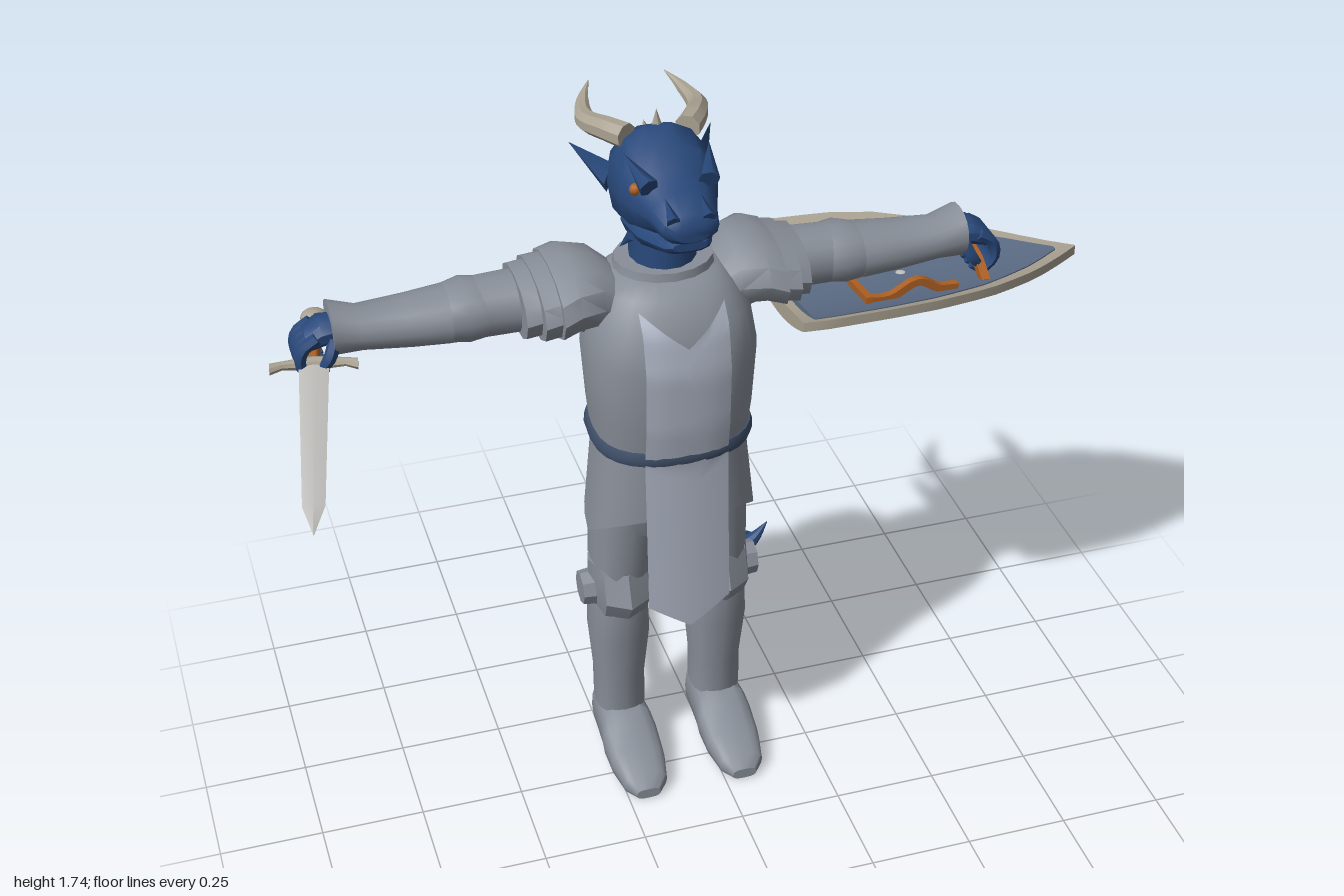
import * as THREE from 'three';
import { toCreasedNormals } from 'three/addons/utils/BufferGeometryUtils.js';

const V = (x, y, z) => new THREE.Vector3(x, y, z);
const mat = (name, color) => Object.assign(new THREE.MeshStandardMaterial({ color, side: THREE.DoubleSide }), { name });
const M = {
  armor: mat('armor grey', 0x888e98), cloth: mat('pale cloth', 0xabb2c1), scale: mat('blue scales', 0x28487a),
  belt: mat('dark blue leather', 0x40506a), bone: mat('bone', 0xaaa292), leather: mat('orange leather', 0xac5f22),
  gold: mat('gold paint', 0xb8952a), steel: mat('bright steel', 0xc2c1be), field: mat('slate blue', 0x5c6d86),
};

function add(parent, name, geo, material) {
  const m = new THREE.Mesh(geo, material);
  m.name = name;
  parent.add(m);
  return m;
}

// Closed skin over rings of points, capped at both ends and wound outward
function skin(rings, crease = 0.7) {
  const n = rings[0].length, pos = [], idx = [];
  rings.forEach(r => r.forEach(p => pos.push(p.x, p.y, p.z)));
  for (let i = 0; i < rings.length - 1; i++) for (let j = 0; j < n; j++) {
    const a = i * n + j, b = i * n + (j + 1) % n;
    idx.push(a, b, a + n, b, b + n, a + n);
  }
  [0, rings.length - 1].forEach((k, end) => {
    const c = V(0, 0, 0);
    rings[k].forEach(p => c.addScaledVector(p, 1 / n));
    const ci = pos.length / 3;
    pos.push(c.x, c.y, c.z);
    for (let j = 0; j < n; j++) {
      const a = k * n + j, b = k * n + (j + 1) % n;
      if (end) idx.push(a, b, ci); else idx.push(b, a, ci);
    }
  });
  const at = i => V(pos[3 * i], pos[3 * i + 1], pos[3 * i + 2]);
  let vol = 0;
  for (let i = 0; i < idx.length; i += 3) vol += at(idx[i]).dot(at(idx[i + 1]).cross(at(idx[i + 2])));
  if (vol < 0) idx.reverse();
  const g = new THREE.BufferGeometry();
  g.setAttribute('position', new THREE.Float32BufferAttribute(pos, 3));
  g.setIndex(idx);
  return toCreasedNormals(g, crease);
}

const sp = (v, p) => Math.sign(v) * Math.pow(Math.abs(v), 2 / p);
// Rounded sections along an axis: [t, centreU, centreV, radiusU, radiusV]
function loft(axis, rows, n = 16, p = 2) {
  return skin(rows.map(([t, cu, cv, ru, rv]) => Array.from({ length: n }, (_, j) => {
    const a = j / n * Math.PI * 2, u = cu + ru * sp(Math.cos(a), p), v = cv + rv * sp(Math.sin(a), p);
    return axis === 'x' ? V(t, u, v) : axis === 'y' ? V(u, t, v) : V(u, v, t);
  })));
}

// Tapered tube along a smooth curve
function sweep(pts, radii, n = 8, ref = V(0, 0, 1), steps = 24) {
  const curve = new THREE.CatmullRomCurve3(pts);
  return skin(Array.from({ length: steps + 1 }, (_, i) => {
    const t = i / steps, k = t * (radii.length - 1), f = Math.min(Math.floor(k), radii.length - 2);
    const r = radii[f] + (radii[f + 1] - radii[f]) * (k - f), c = curve.getPoint(t), T = curve.getTangent(t);
    const u = T.clone().cross(ref).normalize(), v = u.clone().cross(T);
    return Array.from({ length: n }, (_, j) => {
      const a = (j + 0.5) / n * Math.PI * 2;
      return c.clone().addScaledVector(u, r * Math.cos(a)).addScaledVector(v, r * Math.sin(a));
    });
  }));
}

function spike(parent, name, material, p, dir, r, len) {
  const m = add(parent, name, new THREE.ConeGeometry(r, len, 6), material);
  m.quaternion.setFromUnitVectors(V(0, 1, 0), dir.clone().normalize());
  m.position.copy(p).addScaledVector(dir.clone().normalize(), len / 2);
}

// Open sheet from a function of u, v in 0..1
function sheet(f, nu, nv) {
  const g = new THREE.PlaneGeometry(1, 1, nu, nv), P = g.attributes.position;
  for (let i = 0; i < P.count; i++) {
    const q = f(P.getX(i) + 0.5, P.getY(i) + 0.5);
    P.setXYZ(i, q.x, q.y, q.z);
  }
  g.computeVertexNormals();
  return g;
}

const TORSO = [[0.95, 0, -0.105, 0.18, 0.155], [1.05, 0, -0.1, 0.19, 0.166], [1.2, 0, -0.098, 0.2, 0.172],
  [1.3, 0, -0.105, 0.185, 0.16], [1.36, 0, -0.12, 0.15, 0.13], [1.385, 0, -0.125, 0.12, 0.1]];

// Front surface of the breastplate, continuing below the belt as hanging cloth
function frontZ(x, y) {
  if (y < 0.95) return 0.058 + (0.95 - y) * 0.03 - x * x;
  const i = Math.max(0, TORSO.findIndex((r, k) => k < TORSO.length - 1 && y <= TORSO[k + 1][0]));
  const a = TORSO[i], b = TORSO[i + 1], t = (y - a[0]) / (b[0] - a[0]), q = k => a[k] + (b[k] - a[k]) * t;
  return q(2) + q(4) * Math.pow(1 - Math.pow(Math.abs(x) / q(3), 2.6), 1 / 2.6) + 0.01;
}

function buildBody(g) {
  add(g, 'breastplate', loft('y', TORSO, 28, 2.6), M.armor);
  add(g, 'collar', loft('y', [[1.32, 0, -0.13, 0.14, 0.115], [1.37, 0, -0.13, 0.12, 0.105], [1.405, 0, -0.13, 0.115, 0.1]], 16), M.armor);
  add(g, 'belt', loft('y', [[0.95, 0, -0.107, 0.19, 0.168], [0.968, 0, -0.107, 0.195, 0.173], [0.985, 0, -0.107, 0.19, 0.168]], 28, 2.5), M.belt);
  add(g, 'hips', loft('y', [[0.7, 0, -0.115, 0.15, 0.1], [0.8, 0, -0.11, 0.18, 0.135], [0.96, 0, -0.107, 0.175, 0.15]], 20, 2.5), M.armor);
  // Skirt plates hang to a point on each side
  add(g, 'skirtPlates', sheet((u, v) => {
    const a = u * Math.PI * 2, s = sp(Math.sin(a), 2.4), c = sp(Math.cos(a), 2.4);
    return V(c * (0.203 - 0.024 * v), 0.69 + 0.105 * Math.abs(s) * (1 - v) + 0.27 * v, -0.107 - s * (0.157 - 0.003 * v));
  }, 40, 4), M.armor);
  add(g, 'frontTabard', sheet((u, v) => {
    const k = 2 * u - 1, lo = 0.485 + 0.065 * Math.abs(k), hi = 1.265 + 0.08 * Math.abs(k);
    const y = lo + (hi - lo) * v, x = k * 0.1;
    return V(x, y, frontZ(x, y));
  }, 8, 40), M.cloth);
  add(g, 'backTabard', sheet((u, v) => V((1 - 2 * u) * 0.1, 0.52 + 0.44 * v, -0.273 + 0.01 * v), 2, 2), M.cloth);
}

function buildLimbs(g, s) {
  const x = 0.125 * s;
  // Leg
  add(g, 'boot', loft('z', [[0.118, x, 0.016, 0.03, 0.014], [0.09, x, 0.028, 0.055, 0.028], [0.02, x, 0.04, 0.069, 0.04],
    [-0.05, x, 0.055, 0.071, 0.055], [-0.085, x, 0.066, 0.067, 0.066], [-0.2, x, 0.066, 0.06, 0.066], [-0.235, x, 0.058, 0.045, 0.055]], 16, 3), M.armor);
  add(g, 'shinPlate', loft('y', [[0.12, x, -0.15, 0.062, 0.07], [0.22, x, -0.15, 0.062, 0.073], [0.36, x, -0.143, 0.074, 0.09], [0.46, x, -0.14, 0.07, 0.092]], 16, 2.4), M.armor);
  add(g, 'kneePlate', loft('y', [[0.45, x, -0.135, 0.072, 0.097], [0.505, x, -0.118, 0.078, 0.117], [0.585, x, -0.13, 0.076, 0.1]], 8), M.armor);
  const disc = add(g, 'kneeDisc', toCreasedNormals(new THREE.CylinderGeometry(0.042, 0.046, 0.035, 8), 0.5), M.armor);
  disc.rotation.set(0, 0, -s * Math.PI / 2);
  disc.position.set(0.205 * s, 0.505, -0.125);
  add(g, 'thighPlate', loft('y', [[0.57, x * 0.97, -0.13, 0.072, 0.096], [0.7, x * 0.9, -0.125, 0.08, 0.1], [0.84, x * 0.85, -0.12, 0.08, 0.11]], 16, 2.4), M.armor);
  // Arm
  const arm = (name, rows, n = 16) => add(g, name, loft('x', rows.map(r => [r[0] * s, ...r.slice(1)]), n, 2.2), M.armor);
  arm('upperArm', [[0.12, 1.29, -0.16, 0.08, 0.09], [0.3, 1.3, -0.2, 0.068, 0.084], [0.42, 1.297, -0.2, 0.066, 0.08]]);
  arm('elbowPlate', [[0.405, 1.297, -0.2, 0.064, 0.08], [0.45, 1.297, -0.2, 0.07, 0.087], [0.5, 1.293, -0.2, 0.06, 0.078]]);
  arm('forearm', [[0.49, 1.293, -0.2, 0.063, 0.08], [0.58, 1.291, -0.2, 0.055, 0.074], [0.69, 1.29, -0.205, 0.048, 0.062], [0.755, 1.298, -0.21, 0.06, 0.07]]);
  arm('shoulderPlate', [[0.1, 1.31, -0.14, 0.06, 0.09], [0.16, 1.335, -0.155, 0.08, 0.125], [0.22, 1.34, -0.16, 0.08, 0.152], [0.262, 1.325, -0.16, 0.078, 0.158]], 12);
  arm('shoulderMiddlePlate', [[0.24, 1.325, -0.165, 0.078, 0.14], [0.3, 1.315, -0.17, 0.074, 0.148]], 12);
  arm('shoulderLowerPlate', [[0.28, 1.315, -0.18, 0.073, 0.122], [0.335, 1.305, -0.185, 0.07, 0.125]], 12);
  // Hand closed around a bar
  add(g, 'palm', loft('x', [[0.73, 1.3, -0.205, 0.03, 0.04], [0.78, 1.297, -0.205, 0.034, 0.05], [0.815, 1.28, -0.205, 0.025, 0.048]].map(r => [r[0] * s, ...r.slice(1)]), 10), M.scale);
  for (let i = 0; i < 4; i++) {
    const z = -0.245 + i * 0.027;
    add(g, 'finger', sweep([V(0.79 * s, 1.3, z), V(0.825 * s, 1.275, z), V(0.832 * s, 1.235, z), V(0.805 * s, 1.207, z), V(0.772 * s, 1.22, z)],
      [0.015, 0.015, 0.014, 0.013, 0.008], 6, V(0, 0, 1), 10), M.scale);
  }
  add(g, 'thumb', sweep([V(0.75 * s, 1.29, -0.165), V(0.77 * s, 1.25, -0.15), V(0.8 * s, 1.215, -0.155)], [0.016, 0.015, 0.008], 6, V(0, 0, 1), 8), M.scale);
}

function buildHead(g) {
  add(g, 'neck', loft('y', [[1.36, 0, -0.135, 0.08, 0.088], [1.44, 0, -0.138, 0.076, 0.085], [1.54, 0, -0.15, 0.085, 0.09]], 14), M.scale);
  add(g, 'head', loft('z', [[0.106, 0, 1.577, 0.04, 0.02], [0.09, 0, 1.582, 0.064, 0.036], [0.03, 0, 1.588, 0.078, 0.05], [-0.03, 0, 1.583, 0.098, 0.08],
    [-0.08, 0, 1.588, 0.114, 0.114], [-0.16, 0, 1.583, 0.118, 0.132], [-0.23, 0, 1.575, 0.1, 0.105], [-0.265, 0, 1.58, 0.06, 0.055]], 14, 2.2), M.scale);
  add(g, 'jaw', loft('z', [[0.085, 0, 1.536, 0.04, 0.011], [0.065, 0, 1.529, 0.055, 0.02], [0.02, 0, 1.52, 0.07, 0.027], [-0.03, 0, 1.513, 0.088, 0.036], [-0.12, 0, 1.51, 0.1, 0.05], [-0.18, 0, 1.52, 0.08, 0.04]], 12, 2.4), M.scale);
  for (const s of [1, -1]) {
    add(g, 'horn', sweep([V(0.07 * s, 1.69, -0.165), V(0.1 * s, 1.69, -0.21), V(0.13 * s, 1.68, -0.29), V(0.118 * s, 1.69, -0.36), V(0.09 * s, 1.712, -0.415)],
      [0.03, 0.028, 0.024, 0.015, 0.001], 8, V(0, 1, 0)), M.bone);
    add(g, 'ear', skin([[V(0.1 * s, 1.62, -0.185), V(0.12 * s, 1.57, -0.18), V(0.105 * s, 1.53, -0.217), V(0.09 * s, 1.57, -0.22)],
      [0, 1, 2, 3].map(i => V(0.167 * s, 1.62 + i * 0.0005, -0.305))]), M.scale);
    const eye = add(g, 'eye', new THREE.SphereGeometry(0.014, 10, 8), M.leather);
    eye.position.set(0.088 * s, 1.628, -0.035);
    spike(g, 'brow', M.scale, V(0.068 * s, 1.648, 0.005), V(0.3 * s, 0.4, -1), 0.024, 0.11);
    spike(g, 'nostrilRidge', M.scale, V(0.04 * s, 1.605, 0.095), V(0, 0.4, -1), 0.016, 0.07);
    for (let i = 0; i < 3; i++)
      spike(g, 'cheekSpike', M.scale, V((0.095 - i * 0.012) * s, 1.5 - i * 0.012, -0.06 - i * 0.03), V(0.4 * s, -0.7, -0.4), 0.012, 0.045);
  }
  for (const [y, z, dy, dz] of [[1.7, -0.165, 1, -0.1], [1.645, -0.24, 0.5, -1], [1.59, -0.255, 0.3, -1], [1.525, -0.245, 0.2, -1]])
    spike(g, 'crestSpike', M.bone, V(0, y, z), V(0, dy, dz), 0.014, 0.045);
}

function buildTail(g) {
  const pts = [V(0, 0.93, -0.25), V(0, 0.82, -0.33), V(0, 0.62, -0.385), V(0.01, 0.46, -0.395), V(0.06, 0.35, -0.392),
    V(0.14, 0.31, -0.385), V(0.23, 0.32, -0.375), V(0.3, 0.37, -0.365), V(0.337, 0.42, -0.36)];
  const radii = [0.06, 0.075, 0.072, 0.066, 0.056, 0.046, 0.034, 0.018, 0.001];
  add(g, 'tail', sweep(pts, radii, 8, V(0, 0, 1), 32), M.scale);
  const curve = new THREE.CatmullRomCurve3(pts);
  for (let i = 0; i < 10; i++) {
    const t = 0.19 + i * 0.075, k = t * 8, f = Math.floor(k), r = radii[f] + (radii[f + 1] - radii[f]) * (k - f);
    spike(g, 'tailSpike', M.scale, curve.getPoint(t).add(V(0, 0, -r * 0.85)), V(0, -0.25, -1), 0.016, 0.045);
  }
}

function buildShield(g) {
  const W = [[0.215, 0.228], [0.27, 0.246], [0.43, 0.24], [0.55, 0.222], [0.7, 0.175], [0.85, 0.098], [0.995, 0.002]];
  const width = x => {
    const i = Math.min(W.length - 2, Math.max(0, W.findIndex((r, k) => k < W.length - 1 && x <= W[k + 1][0])));
    return W[i][1] + (W[i + 1][1] - W[i][1]) * (x - W[i][0]) / (W[i + 1][0] - W[i][0]);
  };
  const zc = -0.22, surf = dz => 1.18 + dz * dz;
  // Curved plate between two heights over a span of x
  const plate = (x0, x1, w, lo, hi) => skin(Array.from({ length: 15 }, (_, i) => {
    const x = x0 + (x1 - x0) * i / 14, ring = [];
    for (let j = 0; j <= 12; j++) { const d = w(x) * (j / 6 - 1); ring.push(V(x, surf(d) + hi, zc + d)); }
    for (let j = 12; j >= 0; j--) { const d = w(x) * (j / 6 - 1); ring.push(V(x, surf(d) + lo, zc + d)); }
    return ring;
  }));
  const inner = x => Math.max(0.002, width(x) - 0.032);
  add(g, 'shieldRim', plate(0.215, 0.995, width, -0.012, 0.012), M.bone);
  add(g, 'shieldField', plate(0.25, 0.94, inner, -0.015, 0.015), M.field);
  add(g, 'shieldLongBand', plate(0.25, 0.9, x => Math.min(0.035, inner(x)), -0.019, -0.014), M.gold);
  add(g, 'shieldCrossBand', plate(0.505, 0.575, inner, -0.019, -0.014), M.gold);
  const rim = add(g, 'bossRim', toCreasedNormals(new THREE.CylinderGeometry(0.07, 0.066, 0.016, 10), 0.5), M.steel);
  rim.position.set(0.54, 1.159, zc);
  const boss = add(g, 'boss', new THREE.SphereGeometry(0.054, 10, 6), M.steel);
  boss.scale.y = 0.75;
  boss.position.set(0.54, 1.157, zc);
  // Straps on the inner face
  add(g, 'forearmStrap', sweep([V(0.405, 1.225, -0.375), V(0.405, 1.21, zc), V(0.405, 1.225, -0.07)], [0.012, 0.012], 4, V(0, 1, 0), 8), M.leather);
  for (const z of [-0.36, -0.085])
    add(g, 'sideStrap', sweep([V(0.4, 1.22, z), V(0.46, 1.218, z), V(0.53, 1.25, z), V(0.58, 1.225, z), V(0.63, 1.22, z)], [0.013, 0.013], 4, V(0, 0, 1), 16), M.leather);
  add(g, 'handStrap', sweep([V(0.713, 1.2, -0.33), V(0.713, 1.235, -0.27), V(0.713, 1.235, -0.17), V(0.713, 1.2, -0.11)], [0.015, 0.015], 4, V(0, 1, 0), 16), M.leather);
}

function buildSword(g) {
  add(g, 'blade', loft('z', [[0.2, 0, 0, 0.034, 0.006], [0.75, 0, 0, 0.024, 0.005], [0.85, 0, 0, 0.001, 0.001]], 4), M.steel);
  add(g, 'guard', loft('x', [[-0.098, 0, 0.212, 0.012, 0.016], [-0.07, 0, 0.2, 0.01, 0.011], [0, 0, 0.197, 0.016, 0.018], [0.07, 0, 0.2, 0.01, 0.011], [0.098, 0, 0.212, 0.012, 0.016]], 8), M.bone);
  add(g, 'grip', loft('z', [[0.02, 0, 0, 0.013, 0.013], [0.11, 0, 0, 0.016, 0.016], [0.19, 0, 0, 0.013, 0.013]], 10), M.leather);
  add(g, 'pommel', new THREE.SphereGeometry(0.032, 12, 8), M.bone).scale.y = 0.65;
}

export function createModel() {
  const root = new THREE.Group();
  const group = name => { const g = new THREE.Group(); g.name = name; root.add(g); return g; };
  const body = group('body'), head = group('head'), tail = group('tail'), right = group('rightLimbs'), left = group('leftLimbs');
  [body, head, tail, right, left].forEach(g => { g.position.x = -0.077; });
  buildBody(body);
  buildHead(head);
  buildTail(tail);
  buildLimbs(right, -1);
  buildLimbs(left, 1);
  buildShield(group('shield'));
  const sword = group('sword');
  buildSword(sword);
  sword.position.set(-0.845, 1.235, -0.365);
  sword.rotation.y = -0.172;
  return root;
}
